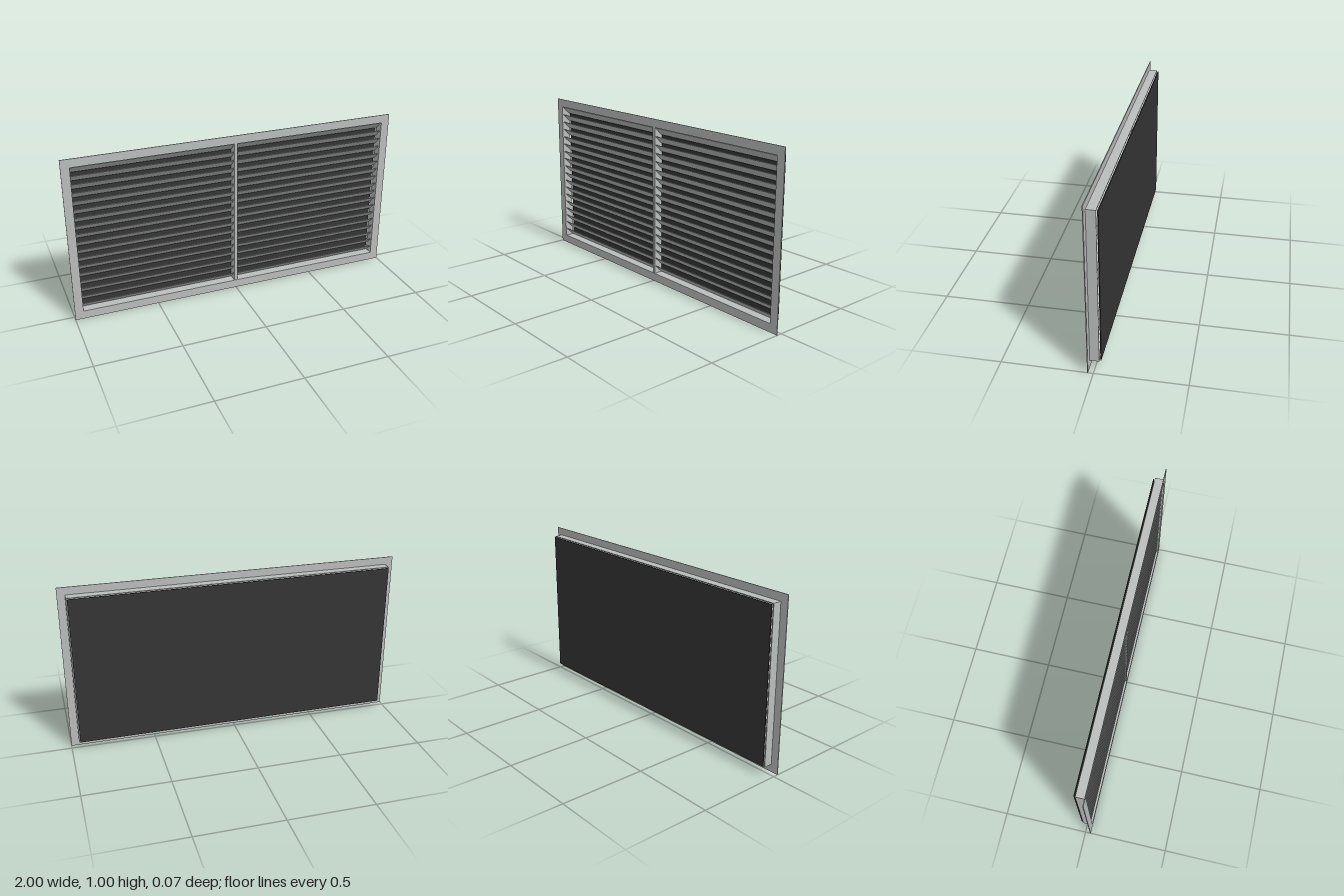
import * as THREE from 'three';

// Rectangular ring extruded along z from z0 to z1, centred on height 0.5
function ring(outerW, outerH, innerW, innerH, z0, z1) {
  const rect = (path, w, h) => path.moveTo(-w, 0.5 - h).lineTo(w, 0.5 - h)
    .lineTo(w, 0.5 + h).lineTo(-w, 0.5 + h).closePath();
  const shape = rect(new THREE.Shape(), outerW, outerH);
  shape.holes.push(rect(new THREE.Path(), innerW, innerH));
  return new THREE.ExtrudeGeometry(shape, { depth: z1 - z0, bevelEnabled: false }).translate(0, 0, z0);
}

export function createModel() {
  const model = new THREE.Group();
  model.name = 'ventGrille';
  const metal = new THREE.MeshStandardMaterial({ color: 0xbabebc });
  metal.name = 'light grey metal';
  const dark = new THREE.MeshStandardMaterial({ color: 0x353535 });
  dark.name = 'dark backing';

  const add = (name, geometry, material, x = 0, y = 0, z = 0) => {
    const mesh = new THREE.Mesh(geometry, material);
    mesh.name = name;
    mesh.position.set(x, y, z);
    model.add(mesh);
    return mesh;
  };

  // Thin front flange and the shallow collar behind it
  add('flange', ring(1, 0.5, 0.95, 0.45, 0.028, 0.033), metal);
  add('collar', ring(0.955, 0.455, 0.95, 0.45, -0.023, 0.028), metal);

  // Dark sheet standing just clear of the collar
  add('backPlate', new THREE.BoxGeometry(1.9, 0.9, 0.005), dark, 0, 0.5, -0.0305);

  // Centre divider
  add('mullion', new THREE.BoxGeometry(0.02, 0.9, 0.053), metal, 0, 0.5, 0.0035);

  // Two banks of slats, leaning forward at the top
  const slat = new THREE.BoxGeometry(0.94, 0.062, 0.003).rotateX(Math.PI / 4);
  for (const side of [-1, 1]) {
    for (let i = 0; i < 18; i++) {
      add(side > 0 ? 'leftSlat' : 'rightSlat', slat, metal, side * 0.48, 0.075 + i * 0.05, 0.002);
    }
  }
  return model;
}
